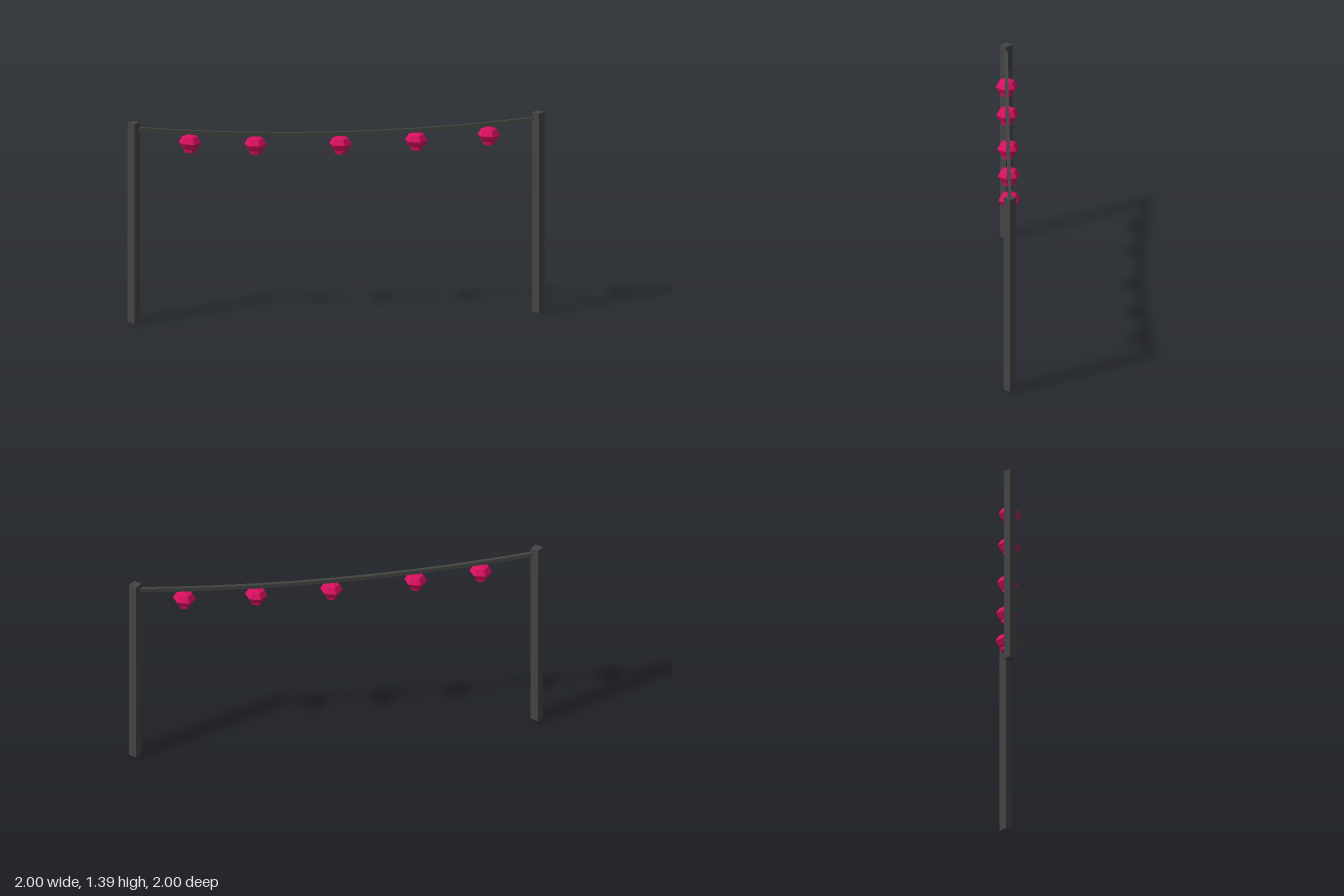
import * as THREE from 'three';

export function createModel() {
  const group = new THREE.Group();
  const postMat = new THREE.MeshStandardMaterial({ color: 0x444444, flatShading: true });
  const wireMat = new THREE.MeshStandardMaterial({ color: 0x414341, flatShading: true });
  const lanternMat = new THREE.MeshStandardMaterial({ color: 0xd81060, flatShading: true });

  const add = (parent, name, geometry, material) => {
    const mesh = new THREE.Mesh(geometry, material);
    mesh.name = name;
    parent.add(mesh);
    return mesh;
  };

  // Two square posts at opposite corners
  const corner = 0.97, postHeight = 1.395;
  for (const side of [-1, 1]) {
    const post = add(group, side < 0 ? 'rightPost' : 'leftPost',
      new THREE.BoxGeometry(0.06, postHeight, 0.06), postMat);
    post.position.set(side * corner, postHeight / 2, side * corner);
  }

  // Sagging cable: a segmented bar bent into a parabola along the diagonal
  const half = corner * Math.SQRT2;
  const cableGeo = new THREE.BoxGeometry(half * 2, 0.028, 0.024, 10, 1, 1);
  const pos = cableGeo.attributes.position;
  for (let i = 0; i < pos.count; i++) {
    const t = pos.getX(i) / half;
    pos.setY(i, pos.getY(i) + 1.28 + 0.07 * t * t);
  }
  cableGeo.computeVertexNormals();
  add(group, 'cable', cableGeo, wireMat).rotation.y = -Math.PI / 4;

  // Six-sided paper lanterns with a small rim below
  const bodyGeo = new THREE.SphereGeometry(0.077, 6, 4).scale(1, 0.73, 1);
  const rimGeo = new THREE.CylinderGeometry(0.043, 0.038, 0.026, 6).rotateY(Math.PI / 6);
  const lanterns = [[-0.7, 1.247], [-0.385, 1.223], [0.022, 1.211], [0.385, 1.223], [0.733, 1.247]];
  for (const [d, y] of lanterns) {
    const lantern = new THREE.Group();
    lantern.name = 'lantern';
    lantern.position.set(d, y, d);
    add(lantern, 'lanternBody', bodyGeo, lanternMat);
    add(lantern, 'lanternRim', rimGeo, lanternMat).position.y = -0.055;
    group.add(lantern);
  }
  return group;
}
